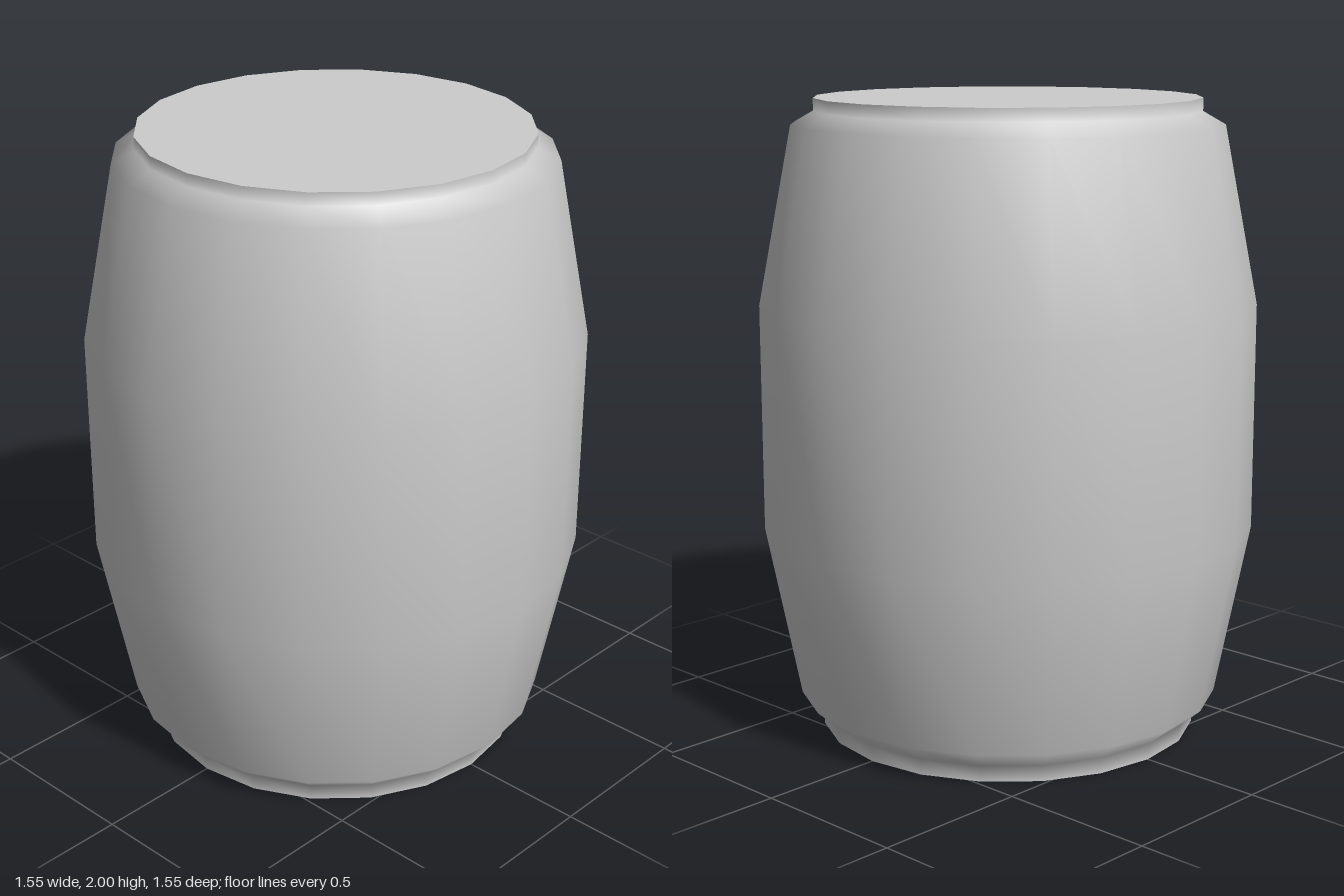
import * as THREE from 'three';

const SIDES = 20;
const END_RADIUS = 0.6;

export function createModel() {
  const model = new THREE.Group();
  model.name = 'barrel';
  const material = new THREE.MeshStandardMaterial({ color: 0xcccccc });

  // Bulging wall with a narrow neck at each end (radius, height)
  const profile = [
    [END_RADIUS, 0], [END_RADIUS, 0.05], [0.67, 0.11], [0.777, 0.66],
    [0.777, 1.37], [0.67, 1.92], [END_RADIUS, 1.96], [END_RADIUS, 2],
  ].map(([r, y]) => new THREE.Vector2(r, y));
  const wall = new THREE.Mesh(new THREE.LatheGeometry(profile, SIDES), material);
  wall.name = 'barrelWall';
  model.add(wall);

  // Flat end discs, facing outward
  for (const [name, y, tilt] of [['lid', 2, -Math.PI / 2], ['base', 0, Math.PI / 2]]) {
    const disc = new THREE.Mesh(new THREE.CircleGeometry(END_RADIUS, SIDES), material);
    disc.name = name;
    disc.rotation.x = tilt;
    disc.position.y = y;
    model.add(disc);
  }
  return model;
}
